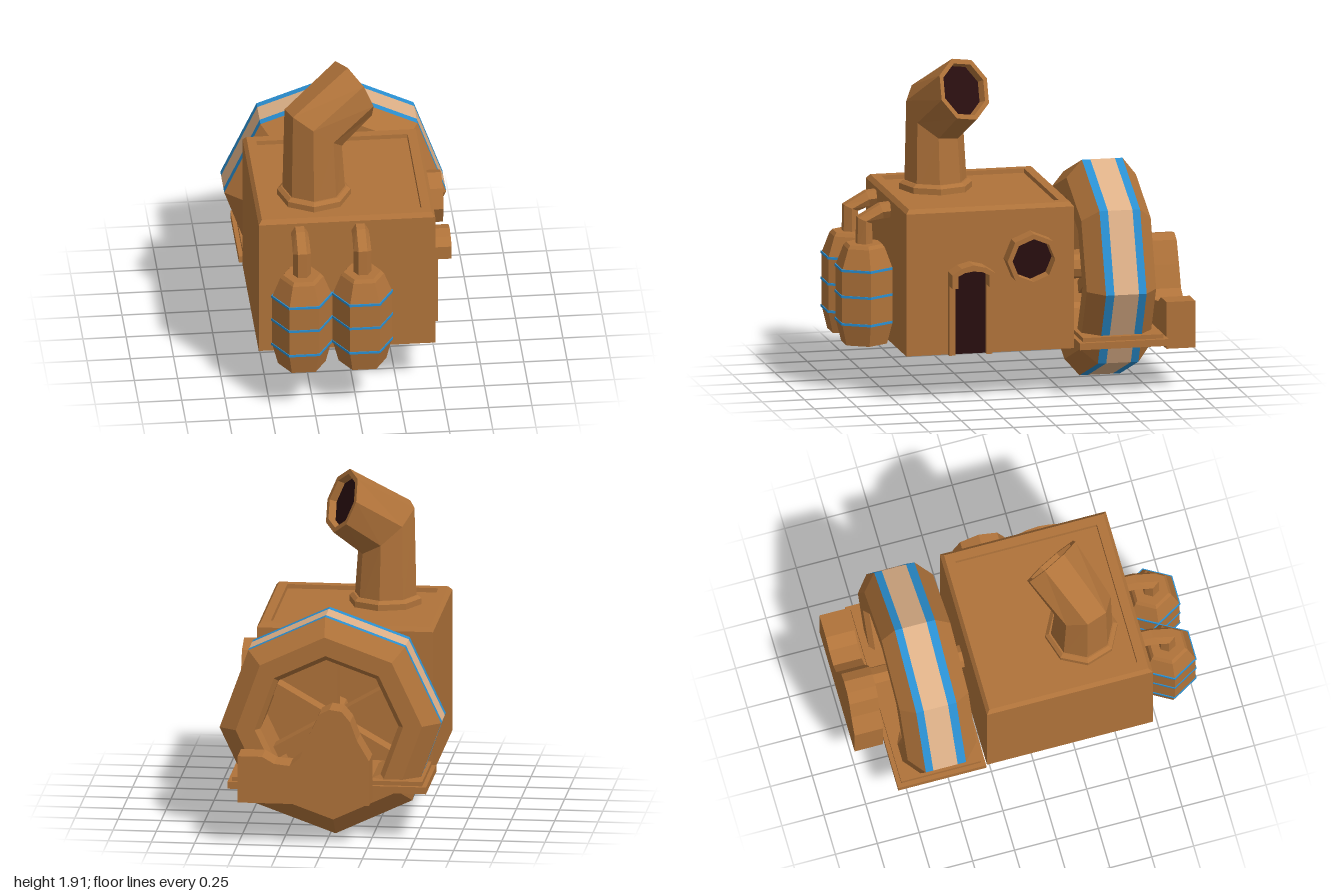
import * as THREE from 'three';

const V = (x, y, z) => new THREE.Vector3(x, y, z);
const UP = V(0, 1, 0);
const rad = THREE.MathUtils.degToRad;

// Faceted normals on any geometry
function flat(geo) {
  const g = geo.index ? geo.toNonIndexed() : geo;
  g.computeVertexNormals();
  return g;
}

// Polygon ring around a centre, turned from +y to the given normal
function ring(centre, normal, r, sides, phase = 0) {
  const q = new THREE.Quaternion().setFromUnitVectors(UP, normal.clone().normalize());
  return Array.from({ length: sides }, (_, i) => {
    const a = phase + (i / sides) * Math.PI * 2;
    return V(Math.cos(a) * r, 0, Math.sin(a) * r).applyQuaternion(q).add(centre);
  });
}

// Skin a series of rings and cap both ends
function loft(rings) {
  const pos = [];
  const tri = (...pts) => pts.forEach((p) => pos.push(p.x, p.y, p.z));
  const n = rings[0].length;
  const mid = (r) => r.reduce((s, p) => s.add(p), V(0, 0, 0)).divideScalar(n);
  const last = rings[rings.length - 1];
  const c0 = mid(rings[0]), c1 = mid(last);
  for (let i = 0; i < n; i++) {
    const j = (i + 1) % n;
    for (let k = 0; k + 1 < rings.length; k++) {
      const a = rings[k], b = rings[k + 1];
      tri(a[i], b[i], a[j]);
      tri(a[j], b[i], b[j]);
    }
    tri(c0, rings[0][i], rings[0][j]);
    tri(c1, last[j], last[i]);
  }
  const g = new THREE.BufferGeometry();
  g.setAttribute('position', new THREE.Float32BufferAttribute(pos, 3));
  g.computeVertexNormals();
  return g;
}

const polygon = (cx, cy, r, n, phase) => Array.from({ length: n }, (_, i) => {
  const a = phase + (i / n) * Math.PI * 2;
  return new THREE.Vector2(cx + Math.cos(a) * r, cy + Math.sin(a) * r);
});
const points = (list) => list.map(([x, y]) => new THREE.Vector2(x, y));

function extrude(outline, depth, hole) {
  const s = new THREE.Shape(outline);
  if (hole) s.holes.push(new THREE.Path(hole));
  return new THREE.ExtrudeGeometry(s, { depth, bevelEnabled: false });
}

// Extrusion out of the side wall: outline is (-z, y), pushed along +x
const sideExtrude = (outline, x, depth, hole) =>
  extrude(outline, depth, hole).rotateY(Math.PI / 2).translate(x, 0, 0);

function box(x0, x1, y0, y1, z0, z1) {
  return new THREE.BoxGeometry(x1 - x0, y1 - y0, z1 - z0)
    .translate((x0 + x1) / 2, (y0 + y1) / 2, (z0 + z1) / 2);
}

export function createModel() {
  const mat = (name, color) => {
    const m = new THREE.MeshStandardMaterial({ color });
    m.name = name;
    return m;
  };
  const copper = mat('copper', 0xb0733a);
  const tan = mat('tan', 0xdeb188);
  const blue = mat('blue', 0x2a90d2);
  const dark = mat('dark opening', 0x280e0f);

  const model = new THREE.Group();
  model.name = 'steamHouse';
  const add = (name, geo, material, parent = model) => {
    const m = new THREE.Mesh(geo, material);
    m.name = name;
    parent.add(m);
    return m;
  };

  // House body with chamfered rim and sunken roof
  const rect = (y, d) => [
    V(0.47 - d, y, -0.29 + d), V(0.47 - d, y, 0.7 - d),
    V(-0.55 + d, y, 0.7 - d), V(-0.55 + d, y, -0.29 + d),
  ];
  add('body', loft([rect(0.28, 0), rect(1.115, 0), rect(1.14, 0.02), rect(1.14, 0.073), rect(1.115, 0.075)]), copper);

  // Bent chimney with a mitred elbow and open mouth
  const phase = rad(5);
  const base = V(-0.2, 1.1, 0.37);
  const mouthDir = V(0.82, 0.35, -0.45).normalize();
  const mouth = V(0.04, 1.74, 0.257);
  const mitre = ring(V(-0.205, 1.56, 0.375), UP, 0.165, 8, phase);
  mitre.forEach((p) => { p.y -= 0.77 * (p.x + 0.205) - 0.36 * (p.z - 0.375); });
  const inside = mouth.clone().addScaledVector(mouthDir, -0.05);
  add('chimney', loft([
    ring(base, UP, 0.183, 8, phase), mitre,
    ring(mouth, mouthDir, 0.19, 8, phase),
    ring(mouth, mouthDir, 0.16, 8, phase),
    ring(inside, mouthDir, 0.155, 8, phase),
  ]), copper);
  add('chimneyOpening', loft([
    ring(inside, mouthDir, 0.154, 8, phase),
    ring(inside.clone().addScaledVector(mouthDir, 0.006), mouthDir, 0.154, 8, phase),
  ]), dark);
  add('chimneyFlange', loft([
    ring(base, UP, 0.212, 8, phase),
    ring(V(-0.2, 1.15, 0.37), UP, 0.212, 8, phase),
    ring(V(-0.2, 1.168, 0.37), UP, 0.19, 8, phase),
  ]), copper);

  // Two hexagonal tanks with blue hoops and pipes into the wall
  for (const x of [-0.315, 0.035]) {
    const tank = new THREE.Group();
    tank.name = 'tank';
    tank.position.set(x, 0, 0.848);
    model.add(tank);
    const profile = [[0.138, 0.28], [0.172, 0.41], [0.172, 0.725], [0.125, 0.845], [0.108, 0.865]];
    add('tankBody', loft(profile.map(([r, y]) => ring(V(0, y, 0), UP, r, 6))), copper, tank);
    for (const y of [0.41, 0.572, 0.725]) {
      add('tankHoop', flat(new THREE.CylinderGeometry(0.177, 0.177, 0.014, 6, 1).rotateY(Math.PI / 6).translate(0, y, 0)), blue, tank);
    }
    add('tankPipe', loft([
      ring(V(0, 0.85, 0), UP, 0.052, 6),
      ring(V(0, 1.0, 0), V(0, 1, -0.45), 0.052, 6),
      ring(V(0, 1.05, -0.1), V(0, 0.25, -1), 0.05, 6),
      ring(V(0, 1.055, -0.16), V(0, 0, -1), 0.05, 6),
    ]), copper, tank);
  }

  // Doorway with posts and arched hood
  add('doorOpening', sideExtrude(points([
    [-0.42, 0.281], [-0.235, 0.281], [-0.235, 0.765], [-0.33, 0.785], [-0.42, 0.765],
  ]), 0.468, 0.008), dark);
  for (const z of [0.2, 0.42]) add('doorPost', box(0.46, 0.51, 0.28, 0.74, z, z + 0.035), copper);
  add('doorHood', sideExtrude(points([
    [-0.455, 0.69], [-0.42, 0.69], [-0.42, 0.76], [-0.38, 0.78], [-0.33, 0.787], [-0.275, 0.78],
    [-0.235, 0.76], [-0.235, 0.69], [-0.2, 0.69], [-0.2, 0.77], [-0.255, 0.805], [-0.33, 0.823],
    [-0.4, 0.805], [-0.455, 0.77],
  ]), 0.46, 0.128), copper);

  // Octagonal porthole
  const top = Math.PI / 2;
  add('windowFrame', sideExtrude(polygon(0.03, 0.83, 0.156, 8, top), 0.46, 0.113, polygon(0.03, 0.83, 0.126, 8, top)), copper);
  add('windowPane', sideExtrude(polygon(0.03, 0.83, 0.128, 8, top), 0.472, 0.008), dark);

  // Eight-sided wheel, turned around the z axis
  const wheel = new THREE.Group();
  wheel.name = 'wheel';
  wheel.position.y = 0.647;
  model.add(wheel);
  const lathe = (profile) => flat(new THREE.LatheGeometry(points(profile), 8, rad(-2.7)).rotateX(Math.PI / 2));
  add('wheelRim', lathe([
    [0.642, -0.44], [0.54, -0.35], [0.43, -0.35], [0.4, -0.38],
    [0.4, -0.73], [0.43, -0.76], [0.54, -0.76], [0.642, -0.68],
  ]), copper, wheel);
  add('rearTreadStripe', lathe([[0.642, -0.68], [0.642, -0.635]]), blue, wheel);
  add('tread', lathe([[0.642, -0.635], [0.642, -0.49]]), tan, wheel);
  add('frontTreadStripe', lathe([[0.642, -0.49], [0.642, -0.44]]), blue, wheel);
  for (let i = 0; i < 6; i++) {
    add('spoke', box(-0.035, 0.035, 0.04, 0.4, -0.62, -0.5), copper, wheel).rotation.z = (i * Math.PI) / 3;
  }
  add('axle', flat(new THREE.CylinderGeometry(0.07, 0.07, 0.58, 8).rotateX(Math.PI / 2).translate(0, 0.008, -0.56)), copper, wheel);

  // Stepped platform around the wheel
  add('platform', box(-0.57, 0.58, 0.29, 0.33, -0.825, -0.3), copper);
  add('platformStep', box(-0.545, 0.555, 0.33, 0.355, -0.8, -0.325), copper);

  // Rear axle bracket with a hump and a shallow cradle
  add('axleBracket', extrude(points([
    [-0.26, 0.255], [0.5, 0.255], [0.5, 0.53], [0.36, 0.53], [0.29, 0.49], [0.2, 0.48], [0.14, 0.53],
    [0.09, 0.66], [0.03, 0.79], [-0.03, 0.82], [-0.1, 0.81], [-0.15, 0.75], [-0.19, 0.64], [-0.26, 0.52],
  ]), 0.17).translate(0, 0, -1), copper);

  return model;
}
